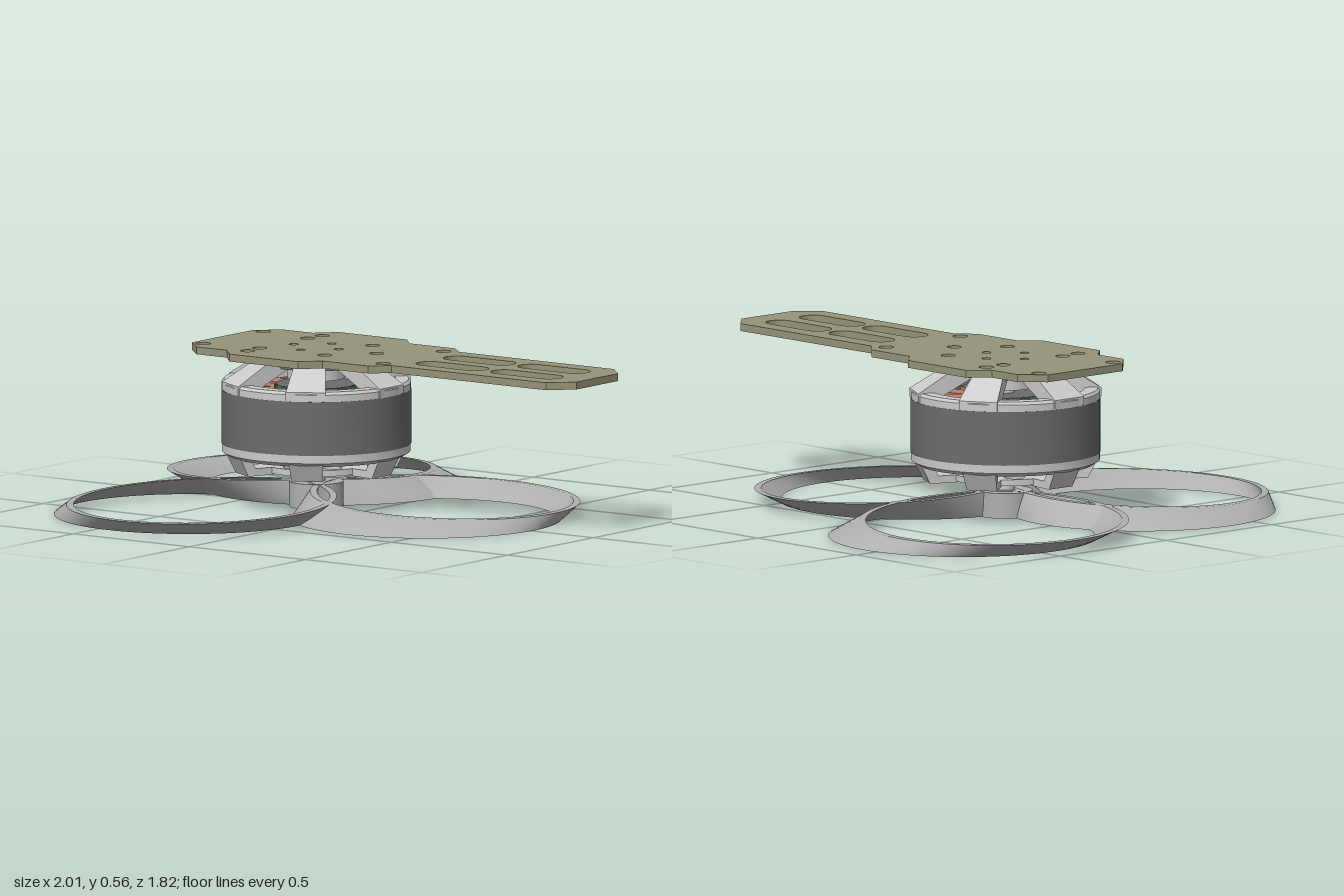
import * as THREE from 'three';
import { toCreasedNormals } from 'three/addons/utils/BufferGeometryUtils.js';

const mat = (color) => new THREE.MeshStandardMaterial({ color });
const grey = mat(0xcccccc), bladeGrey = mat(0xb0b0b0), dark = mat(0x6c6c6c), olive = mat(0x96947a);
const copper = mat(0xb88270), green = mat(0x3f9a48);

function add(parent, name, geometry, material) {
  const mesh = new THREE.Mesh(geometry, material);
  mesh.name = name;
  parent.add(mesh);
  return mesh;
}

// Closed (radius, height) profile, counterclockwise, turned about y
function turned(points, segments = 72) {
  const loop = [...points, points[0]].map(([r, y]) => new THREE.Vector2(r, y));
  return new THREE.LatheGeometry(loop, segments);
}
const creased = (g) => toCreasedNormals(g, 0.6);
const tube = (rIn, rOut, y0, y1) => creased(turned([[rOut, y0], [rOut, y1], [rIn, y1], [rIn, y0]]));

// Flat part lying in the xz plane, top face at y = 0
function sheet(shape, depth) {
  const g = new THREE.ExtrudeGeometry(shape, { depth, bevelEnabled: false, curveSegments: 24 });
  g.rotateX(Math.PI / 2);
  return creased(g);
}
const cutHole = (shape, x, z, r) =>
  shape.holes.push(new THREE.Path().absarc(x, z, r, 0, Math.PI * 2, true));

// Spoke with a (radius, height) outline, widening outwards
function spoke(points, wIn, wOut) {
  const shape = new THREE.Shape(points.map(([r, y]) => new THREE.Vector2(r, y)));
  const g = new THREE.ExtrudeGeometry(shape, { depth: 1, bevelEnabled: false });
  g.translate(0, 0, -0.5);
  const p = g.attributes.position;
  for (let i = 0; i < p.count; i++) {
    p.setZ(i, p.getZ(i) * THREE.MathUtils.mapLinear(p.getX(i), 0.08, 0.33, wIn, wOut));
  }
  g.computeVertexNormals();
  return g;
}

// Sheared loop blade, tallest at the hub
function loopBlade() {
  const g = turned([[0.468, 0], [0.468, 1], [0.444, 1], [0.455, 0]], 96);
  const p = g.attributes.position;
  for (let i = 0; i < p.count; i++) {
    const top = p.getY(i) > 0.5;
    const x = p.getX(i) + 0.478, z = p.getZ(i) - 0.054 + (top ? -0.05 : 0.06);
    const reach = Math.min(Math.hypot(x, z) / 0.95, 1);
    p.setXYZ(i, x, top ? 0.092 - 0.046 * reach : 0, z);
  }
  return creased(g);
}

function mountPlate() {
  // Half outline, mirrored across the long axis
  const half = [[-0.615, -0.177], [-0.54, -0.25], [-0.41, -0.25], [-0.35, -0.317], [-0.055, -0.317],
    [0.005, -0.253], [0.2, -0.253], [0.26, -0.197], [0.925, -0.197], [1, -0.122]];
  const outline = [...half, ...half.map(([x, z]) => [x, -z]).reverse()];
  const shape = new THREE.Shape(outline.map(([x, z]) => new THREE.Vector2(x, z)));
  for (const s of [-1, 1]) {
    cutHole(shape, -0.568, s * 0.175, 0.026);
    cutHole(shape, 0.208, s * 0.175, 0.026);
    cutHole(shape, -0.345, s * 0.217, 0.025);
    cutHole(shape, -0.35, s * 0.14, 0.025);
    cutHole(shape, -0.07, s * 0.14, 0.025);
    cutHole(shape, -0.21 + s * 0.097, 0, 0.016);
    cutHole(shape, -0.21, s * 0.09, 0.016);
    // Round-ended strap slots
    for (const x of [0.29, 0.61]) {
      const r = 0.048, z = s * 0.079;
      shape.holes.push(new THREE.Path()
        .absarc(x + r, z, r, Math.PI * 1.5, Math.PI * 0.5, true)
        .absarc(x + 0.29 - r, z, r, Math.PI * 0.5, -Math.PI * 0.5, true));
    }
  }
  cutHole(shape, 0.05, 0, 0.025);
  return sheet(shape, 0.026);
}

// Disc under the motor with a ring of round holes
function lowerDisc() {
  const shape = new THREE.Shape().absarc(0, 0, 0.19, 0, Math.PI * 2, false);
  for (let i = 0; i < 6; i++) {
    const a = (i + 0.5) * Math.PI / 3;
    cutHole(shape, 0.135 * Math.cos(a), 0.135 * Math.sin(a), 0.035);
  }
  return sheet(shape, 0.022);
}

export function createModel() {
  const model = new THREE.Group();
  const cx = -0.21, cz = -0.023;

  const plate = add(model, 'mountPlate', mountPlate(), olive);
  plate.position.set(0, 0.557, cz);

  const motor = new THREE.Group();
  motor.name = 'motor';
  motor.position.set(cx, 0, cz);
  model.add(motor);

  // Upper frame, magnet can and lower frame
  add(motor, 'topCap', creased(turned([[0.1, 0.45], [0.1, 0.495], [0.16, 0.495], [0.185, 0.515],
    [0.185, 0.531], [0.03, 0.531], [0.03, 0.45]])), grey);
  add(motor, 'upperRing', creased(turned([[0.328, 0.412], [0.328, 0.436], [0.32, 0.446], [0.275, 0.446], [0.275, 0.412]])), grey);
  add(motor, 'magnetCan', tube(0.295, 0.329, 0.224, 0.412), dark);
  add(motor, 'lowerBand', creased(turned([[0.305, 0.182], [0.327, 0.196], [0.327, 0.224], [0.28, 0.224], [0.28, 0.182]])), grey);
  add(motor, 'lowerDisc', lowerDisc(), grey).position.y = 0.152;
  add(motor, 'lowerHub', tube(0.03, 0.08, 0.128, 0.2), grey);
  const upper = spoke([[0.12, 0.495], [0.27, 0.415], [0.325, 0.415], [0.325, 0.445], [0.185, 0.531], [0.12, 0.531]], 0.08, 0.14);
  const lower = spoke([[0.07, 0.13], [0.18, 0.126], [0.28, 0.126], [0.312, 0.19], [0.27, 0.19], [0.25, 0.152], [0.07, 0.152]], 0.05, 0.125);
  for (let i = 0; i < 6; i++) {
    const a = i * Math.PI / 3;
    add(motor, 'upperSpoke', upper, grey).rotation.y = a;
    add(motor, 'lowerSpoke', lower, grey).rotation.y = a;
  }

  // Stator with copper windings
  add(motor, 'statorCore', tube(0.03, 0.14, 0.21, 0.43), dark);
  const coil = new THREE.BoxGeometry(0.13, 0.2, 0.075);
  coil.translate(0.2, 0.315, 0);
  const tooth = new THREE.BoxGeometry(0.16, 0.14, 0.035);
  tooth.translate(0.205, 0.315, 0);
  const insulator = new THREE.BoxGeometry(0.02, 0.225, 0.03);
  insulator.translate(0.135, 0.315, 0);
  for (let i = 0; i < 12; i++) {
    const a = (i + 0.5) * Math.PI / 6;
    add(motor, 'coil', coil, copper).rotation.y = a;
    add(motor, 'statorTooth', tooth, dark).rotation.y = a;
    add(motor, 'insulator', insulator, green).rotation.y = a;
  }

  const shaft = add(motor, 'shaft', new THREE.CylinderGeometry(0.031, 0.031, 0.5, 32), grey);
  shaft.position.y = 0.265;

  // Three-loop propeller with a counterbored hub
  const propeller = new THREE.Group();
  propeller.name = 'propeller';
  motor.add(propeller);
  add(propeller, 'propellerHub', creased(turned([[0.094, 0], [0.094, 0.088], [0.03, 0.088],
    [0.03, 0.02], [0.055, 0.02], [0.055, 0]])), bladeGrey);
  const blade = loopBlade();
  for (let i = 0; i < 3; i++) {
    add(propeller, 'loopBlade', blade, bladeGrey).rotation.y = i * Math.PI * 2 / 3;
  }
  return model;
}
